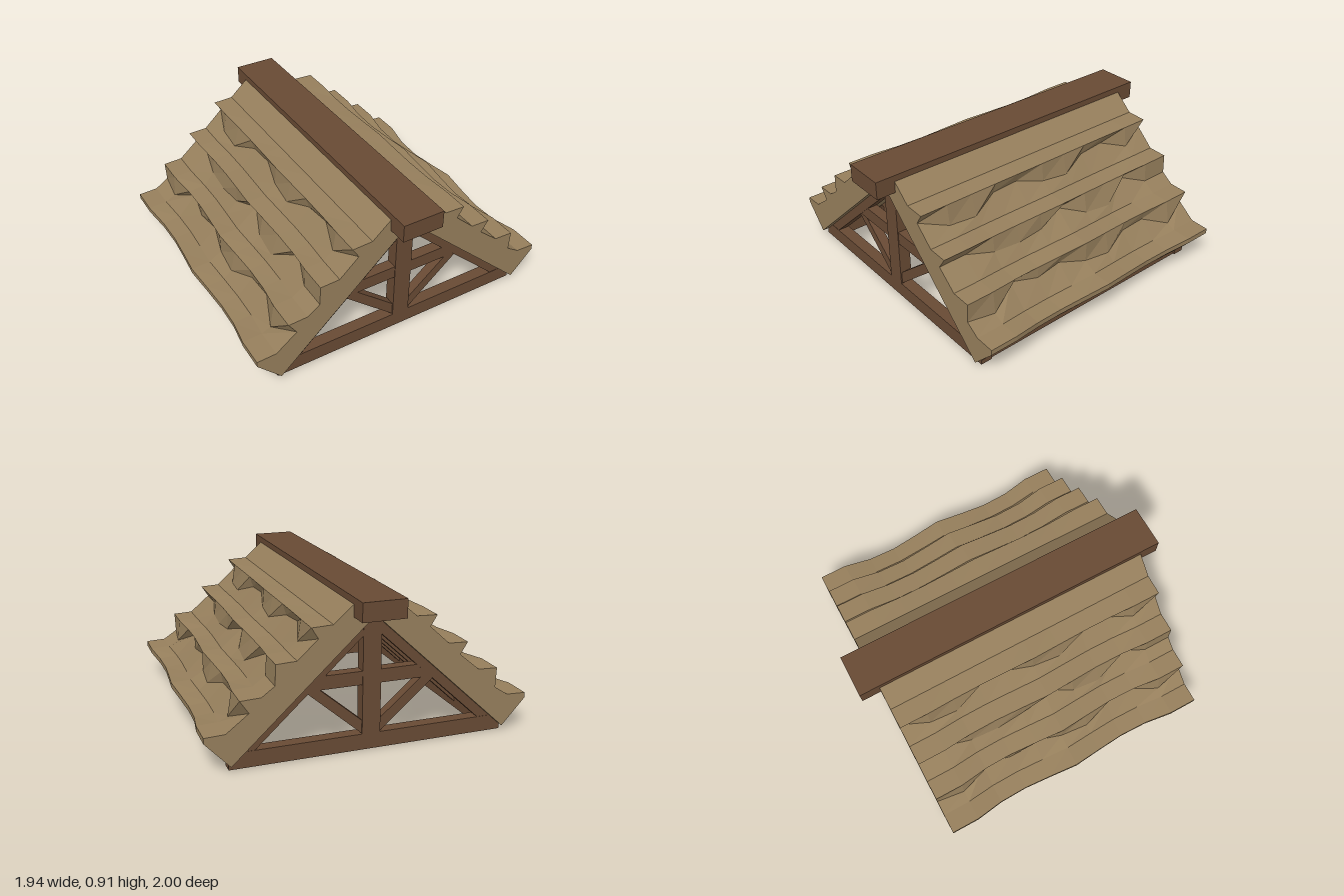
import * as THREE from 'three';

const wood = new THREE.MeshStandardMaterial({ color: 0x684a34, flatShading: true });
wood.name = 'dark brown wood';
const straw = new THREE.MeshStandardMaterial({ color: 0x967f5c, flatShading: true });
straw.name = 'tan thatch';

// Flat polygon in x,y extruded from z0 to z1
function plank(name, points, z0, z1) {
  const shape = new THREE.Shape(points.map(([x, y]) => new THREE.Vector2(x, y)));
  const geo = new THREE.ExtrudeGeometry(shape, { depth: z1 - z0, bevelEnabled: false });
  geo.translate(0, 0, z0);
  const mesh = new THREE.Mesh(geo, wood);
  mesh.name = name;
  return mesh;
}

const mirrorX = (points) => points.map(([x, y]) => [-x, y]).reverse();

function box(name, x0, x1, y0, y1, z0, z1) {
  return plank(name, [[x0, y0], [x1, y0], [x1, y1], [x0, y1]], z0, z1);
}

// Undulation of the straw along the ridge, and height of each ragged course edge
const wave = [1, 1, 0.15, 0, 0.45, 1, 0.45, 0, 0.15, 1, 1];
const ragged = [
  [0.70, 0.64, 0.63, 0.69, 0.695, 0.65, 0.635, 0.69, 0.70, 0.64, 0.70],
  [0.515, 0.515, 0.475, 0.465, 0.475, 0.525, 0.455, 0.44, 0.53, 0.465, 0.465],
  [0.285, 0.265, 0.345, 0.31, 0.325, 0.28, 0.265, 0.32, 0.325, 0.255, 0.33],
];
const grooves = [[0.245, 0.77], [0.45, 0.59], [0.65, 0.41], [0.85, 0.23]];
const lips = [[0.37, 0.765], [0.57, 0.585], [0.77, 0.405], [0.97, 0.225]];

// Closed cross-section of one roof slope at station k, counterclockwise
function thatchSection(k) {
  const dip = wave[k] - 1;
  const sink = ([x, y], amount) => new THREE.Vector2(x + 0.028 * dip * amount, y + 0.02 * dip * amount);
  const section = [
    new THREE.Vector2(0, 0.80),
    new THREE.Vector2(0.825, 0.035),
    sink([0.97, 0.192], 1.15),
  ];
  for (let row = 3; row >= 0; row--) {
    if (row < 3) {
      const y = ragged[row][k];
      section.push(new THREE.Vector2(1.03 + 0.01 * row - y, y));
    }
    section.push(sink(lips[row], [0.3, 0.7, 1, 1.1][row]));
    section.push(sink(grooves[row], [0, 0.5, 0.7, 0.8][row]));
  }
  section.push(new THREE.Vector2(0.13, 0.872), new THREE.Vector2(0, 0.9));
  return section;
}

function thatchGeometry() {
  const half = 0.88;
  const last = wave.length - 1;
  const sections = wave.map((_, k) => thatchSection(k));
  const n = sections[0].length;
  const position = [];
  const put = (k, i) => {
    const p = sections[k][i % n];
    position.push(p.x, p.y, half - (2 * half * k) / last);
  };
  // Skin between stations
  for (let k = 0; k < last; k++) {
    for (let i = 0; i < n; i++) {
      put(k, i); put(k + 1, i + 1); put(k, i + 1);
      put(k, i); put(k + 1, i); put(k + 1, i + 1);
    }
  }
  // Gable ends
  for (const [a, b, c] of THREE.ShapeUtils.triangulateShape(sections[0], [])) {
    put(0, a); put(0, b); put(0, c);
  }
  for (const [a, b, c] of THREE.ShapeUtils.triangulateShape(sections[last], [])) {
    put(last, c); put(last, b); put(last, a);
  }
  const geo = new THREE.BufferGeometry();
  geo.setAttribute('position', new THREE.Float32BufferAttribute(position, 3));
  geo.computeVertexNormals();
  return geo;
}

const rafter = [[0, 0.725], [0.745, 0.035], [0.825, 0.035], [0, 0.80]];
const strut = [[0.03, 0.075], [0.40, 0.395], [0.33, 0.41], [0.03, 0.155]];

// Gable truss between z0 and z1
function truss(z0, z1) {
  const group = new THREE.Group();
  const inset = 0.004;
  group.add(plank('tieBeam', [[-0.83, 0], [0.83, 0], [0.83, 0.03], [0.76, 0.095],
    [-0.76, 0.095], [-0.83, 0.03]], z0, z1));
  group.add(box('kingPost', -0.055, 0.055, 0.09, 0.80, z0, z1));
  group.add(box('collarBeam', -0.41, 0.41, 0.39, 0.47, z0 + inset, z1 - inset));
  for (const side of [1, -1]) {
    const place = (pts) => (side > 0 ? pts : mirrorX(pts));
    group.add(plank('endRafter', place(rafter), z0 + inset / 2, z1 - inset / 2));
    group.add(plank('strut', place(strut), z0 + 2 * inset, z1 - 2 * inset));
  }
  return group;
}

export function createModel() {
  const model = new THREE.Group();
  model.name = 'thatchedRoof';

  // Ridge
  model.add(box('ridgeBeam', -0.13, 0.13, 0.80, 0.91, -1, 1));

  // Thatch slopes, each the other turned half way round
  const geo = thatchGeometry();
  for (const side of [0, 1]) {
    const slope = new THREE.Mesh(geo, straw);
    slope.name = side ? 'rightThatch' : 'leftThatch';
    slope.rotation.y = side * Math.PI;
    model.add(slope);
  }

  // Trusses at both gables
  const front = truss(0.765, 0.84);
  front.name = 'frontTruss';
  const back = truss(-0.84, -0.765);
  back.name = 'backTruss';
  model.add(front, back);

  // Wall plates and inner rafters under each slope
  const plate = [[0.74, 0], [0.82, 0], [0.82, 0.03], [0.755, 0.09], [0.74, 0.09]];
  for (const side of [1, -1]) {
    const place = (pts) => (side > 0 ? pts : mirrorX(pts));
    model.add(plank('wallPlate', place(plate), -0.78, 0.78));
    for (const z of [-0.41, 0, 0.41]) {
      model.add(plank('innerRafter', place(rafter), z - 0.04, z + 0.04));
    }
  }
  return model;
}
